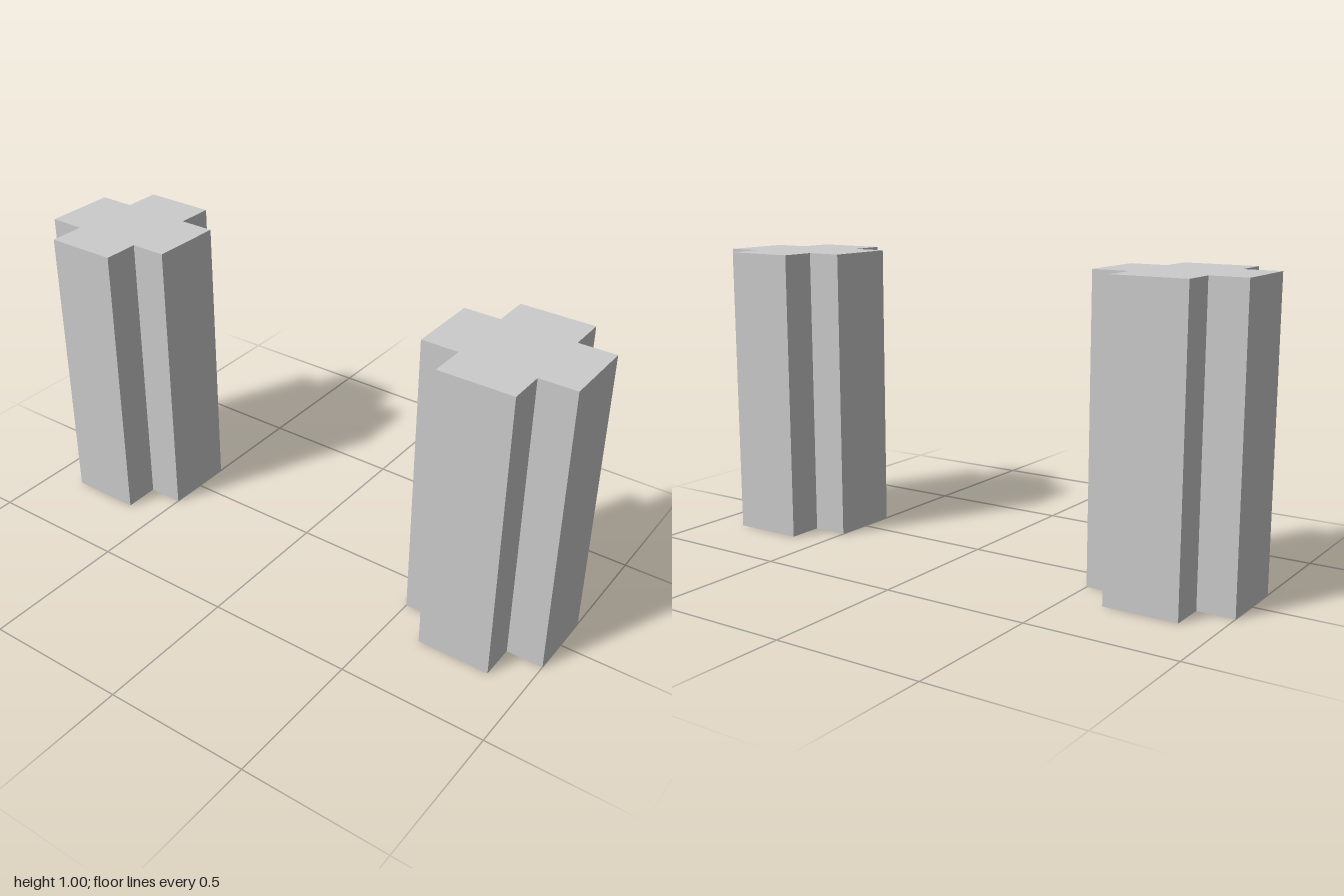
import * as THREE from 'three';

const HEIGHT = 1;
const ARM = 0.25;     // centre to the end of an arm
const HALF = 0.125;   // half the width of an arm
const OFFSET = 0.75;  // pillar centre from the middle

// Plus-shaped outline, one quarter turn at a time, counter-clockwise
function crossShape() {
  const points = [];
  for (let i = 0; i < 4; i++) {
    for (const [x, y] of [[ARM, -HALF], [ARM, HALF], [HALF, HALF]]) {
      const p = new THREE.Vector2(x, y);
      for (let k = 0; k < i; k++) p.set(-p.y, p.x);
      points.push(p);
    }
  }
  return new THREE.Shape(points);
}

export function createModel() {
  const model = new THREE.Group();
  model.name = 'crossPillars';
  const material = new THREE.MeshStandardMaterial({ color: 0xcccccc, flatShading: true });

  // Cross-section extruded upwards
  const geometry = new THREE.ExtrudeGeometry(crossShape(), { depth: HEIGHT, bevelEnabled: false });
  geometry.rotateX(-Math.PI / 2);

  // A matching pillar on each side
  for (const [name, side] of [['leftPillar', 1], ['rightPillar', -1]]) {
    const pillar = new THREE.Mesh(geometry, material);
    pillar.name = name;
    pillar.position.x = side * OFFSET;
    model.add(pillar);
  }
  return model;
}
